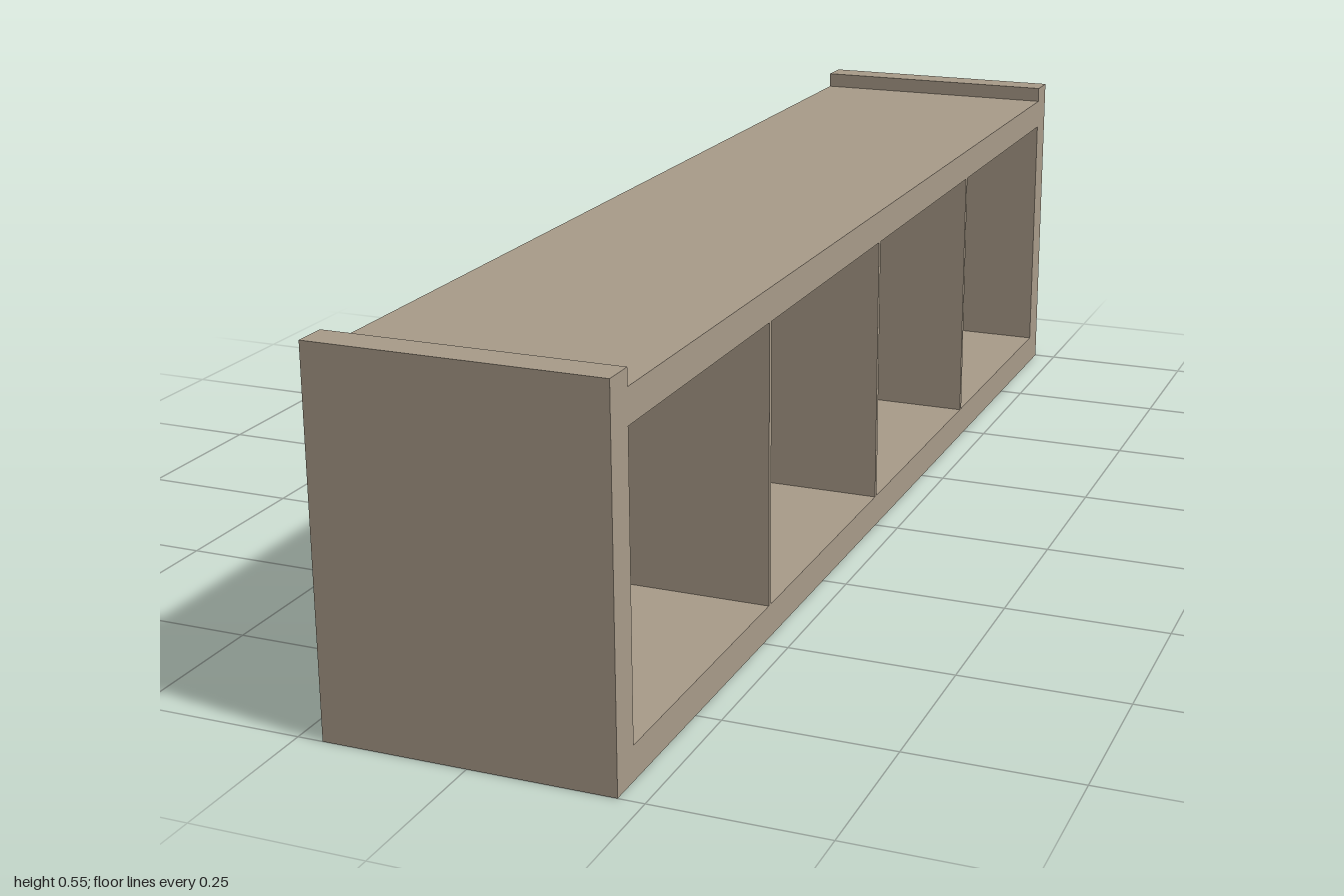
import * as THREE from 'three';

const DEPTH = 0.425;   // along x
const HEIGHT = 0.55;
const BOARD = 0.05;
const INNER = 2 - 2 * BOARD; // clear length between the end panels

export function createModel() {
  const group = new THREE.Group();
  group.name = 'openShelfUnit';
  const wood = new THREE.MeshStandardMaterial({ color: 0xa89b89 });

  // Board spanning the depth, given its height, length, bottom and z centre
  const board = (name, height, length, bottom, z) => {
    const mesh = new THREE.Mesh(new THREE.BoxGeometry(DEPTH, height, length), wood);
    mesh.name = name;
    mesh.position.set(0, bottom + height / 2, z);
    group.add(mesh);
  };

  // End panels, rising slightly above the top board
  board('frontEndPanel', HEIGHT, BOARD, 0, 1 - BOARD / 2);
  board('backEndPanel', HEIGHT, BOARD, 0, -1 + BOARD / 2);

  // Horizontal boards
  board('bottomBoard', BOARD, INNER, 0, 0);
  board('topBoard', BOARD, INNER, 0.475, 0);

  // Thin dividers making four open compartments
  for (let i = -1; i <= 1; i++) {
    board(`divider${i + 2}`, 0.425, 0.008, BOARD, i * INNER / 4);
  }
  return group;
}
